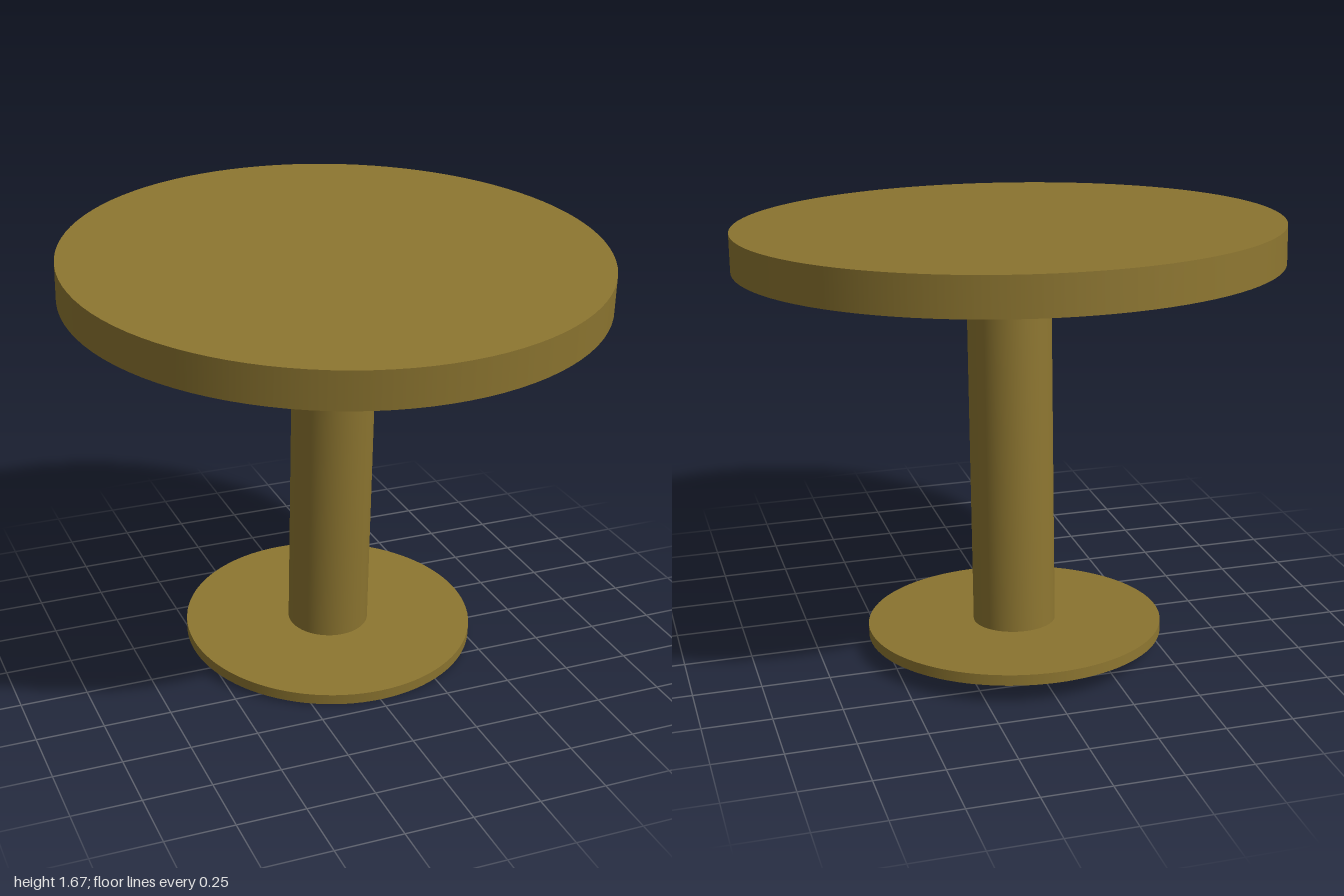
import * as THREE from 'three';

// Round pedestal table, leaning slightly forward as one rigid piece
export function createModel() {
  const model = new THREE.Group();
  model.name = 'pedestalTable';

  const wood = new THREE.MeshStandardMaterial({ color: 0x8c7530 });
  wood.name = 'olive brown';

  // Upright table, measured along its own axis from the underside of the base
  const table = new THREE.Group();
  table.name = 'leaningTable';

  const addDisc = (name, radius, bottom, top) => {
    const height = top - bottom;
    const mesh = new THREE.Mesh(new THREE.CylinderGeometry(radius, radius, height, 96), wood);
    mesh.name = name;
    mesh.position.y = bottom + height / 2;
    table.add(mesh);
  };

  addDisc('basePlate', 0.555, 0, 0.04);
  addDisc('column', 0.155, 0.04, 1.422);
  addDisc('tableTop', 0.9975, 1.422, 1.562);

  // Lean of the whole table, with the lowest edge of the base on the ground
  table.rotation.set(THREE.MathUtils.degToRad(4), 0, THREE.MathUtils.degToRad(0.2));
  table.position.set(0.005, 0.039, -0.104);
  model.add(table);

  return model;
}
